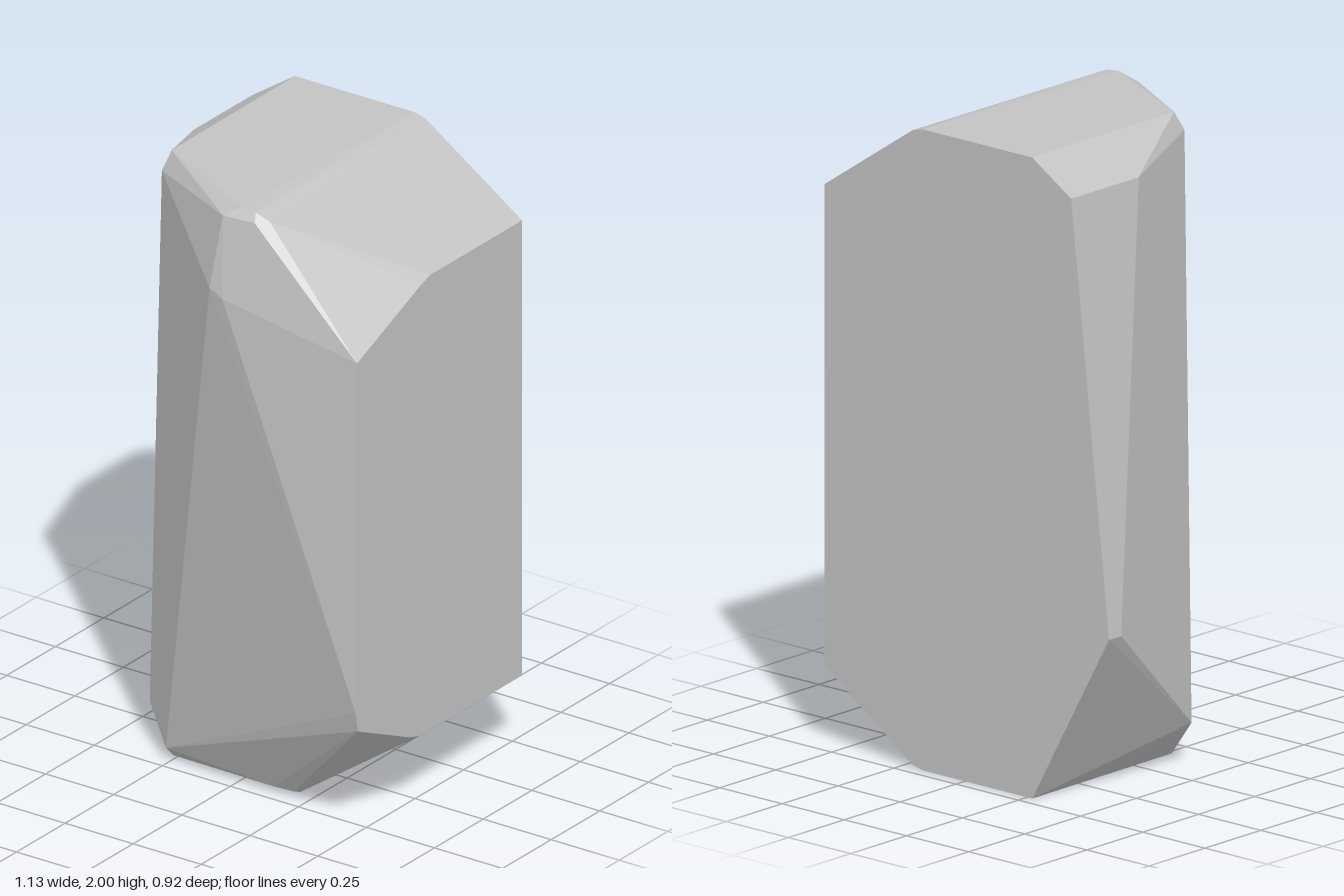
import * as THREE from 'three';
import { ConvexGeometry } from 'three/addons/geometries/ConvexGeometry.js';

// Faceted boulder: the convex skin around its chiselled corners
const corners = {
  back: [
    [0.565, 0.25, -0.46], [0.565, 1.75, -0.46], [0.21, 1.99, -0.46], [0.17, 2, -0.46],
    [-0.27, 2, -0.46], [-0.27, 0, -0.46], [0.17, 0, -0.46], [0.21, 0.01, -0.46],
  ],
  leftEdge: [
    [-0.42, 1.9, -0.453], [-0.42, 1.9, -0.15],
    [-0.565, 0.55, -0.445], [-0.565, 0.55, -0.39],
    [-0.385, 0.2, 0.11], [-0.385, 0.13, 0.125],
  ],
  crown: [
    [-0.265, 2, 0.18], [-0.28, 1.94, 0.21],
    [0.14, 2, 0.385], [0.19, 1.995, 0.385], [0.23, 1.97, 0.37],
    [0.09, 1.97, 0.415], [0.2, 1.97, 0.405],
  ],
  brow: [[0.07, 1.74, 0.455], [0.12, 1.72, 0.46]],
  rightEdge: [
    [0.565, 1.75, 0.01], [0.565, 1.735, 0.06], [0.565, 1.6, 0.39],
    [0.565, 0.45, 0.397], [0.565, 0.385, 0.385], [0.565, 0.265, 0.12], [0.565, 0.25, 0.07],
  ],
  foot: [
    [-0.265, 0.04, 0.21], [-0.265, 0, 0.17],
    [0.13, 0.02, 0.21], [0.2, 0.02, 0.205], [0.15, 0, 0.17], [0.2, 0.005, 0.17],
  ],
};

export function createModel() {
  const group = new THREE.Group();
  group.name = 'boulder';

  const stone = new THREE.MeshStandardMaterial({ color: 0xc3c3c3 });
  stone.name = 'pale grey stone';

  const points = Object.values(corners).flat().map((p) => new THREE.Vector3(...p));
  const rock = new THREE.Mesh(new ConvexGeometry(points), stone);
  rock.name = 'rock';
  group.add(rock);
  return group;
}
